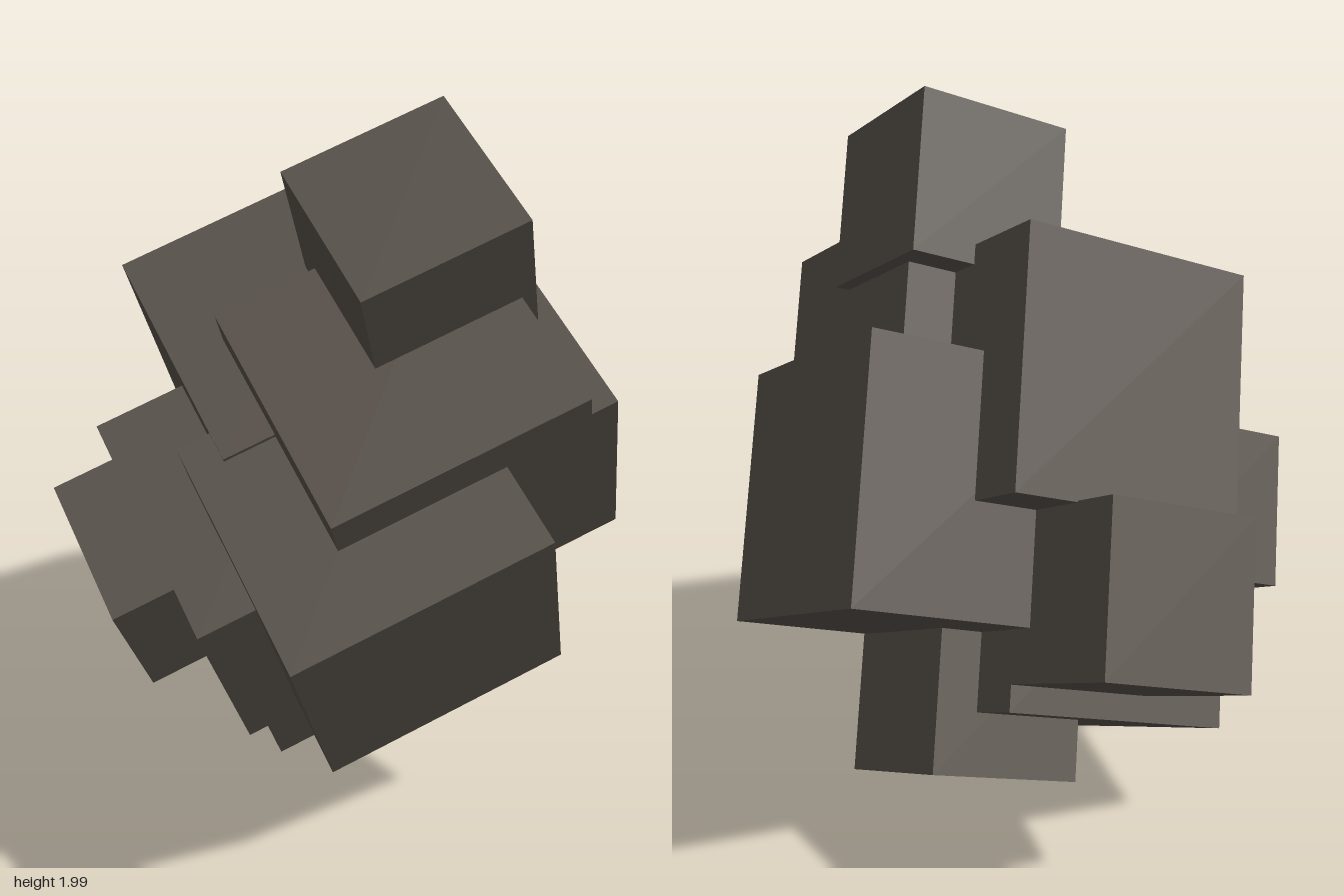
import * as THREE from 'three';

// A tilted cluster of overlapping cubes in two sizes.
export function createModel() {
  const model = new THREE.Group();
  model.name = 'rockCluster';

  const stone = new THREE.MeshStandardMaterial({ color: 0x5a534c });
  stone.name = 'dark stone';

  // All cubes share one tilt, so they are placed in a rotated frame.
  const cluster = new THREE.Group();
  cluster.name = 'tiltedCluster';
  cluster.rotation.set(Math.atan(0.5), 0, 0.3887);
  model.add(cluster);

  const addCubes = (size, cubes) => {
    const geometry = new THREE.BoxGeometry(size, size, size);
    for (const [name, x, y, z] of cubes) {
      const cube = new THREE.Mesh(geometry, stone);
      cube.name = name;
      cube.position.set(x, y, z);
      cluster.add(cube);
    }
  };

  // Large cubes forming the core
  addCubes(0.687, [
    ['frontBlock', 0.218, 0.948, -0.035],
    ['upperFrontBlock', 0.451, 1.066, -0.267],
    ['sideBlock', 0.629, 0.657, -0.44],
    ['upperBackBlock', 0.309, 0.958, -0.628],
    ['oppositeSideBlock', 0.061, 0.818, -0.289],
    ['lowerBlock', 0.115, 0.446, -0.348],
  ]);

  // Small cubes sticking out of the core
  addCubes(0.445, [
    ['topKnob', 0.612, 1.47, -0.484],
    ['sideKnob', -0.24, 0.748, -0.42],
    ['bottomKnob', 0.357, 0.158, -0.308],
    ['backKnob', 0.247, 0.396, -0.896],
  ]);

  return model;
}
